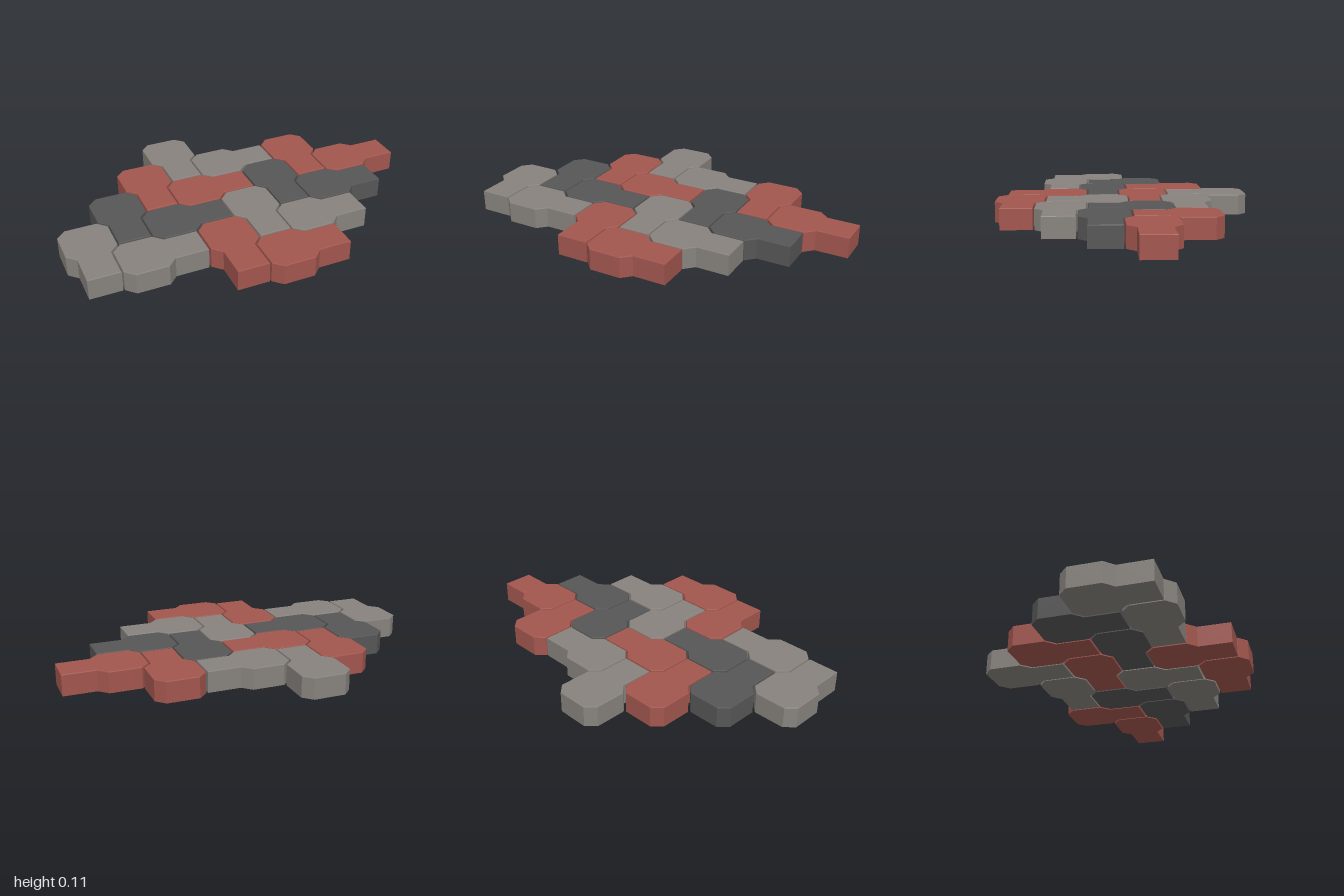
import * as THREE from 'three';

const PITCH = 0.223;   // lattice step
const HEIGHT = 0.113;
const BEVEL = 0.004;

// One paver: an octagon with a square tail towards +x, flat base, eased top edge
function paverGeometry() {
  const r = 0.131, s = 0.084, end = 0.305;
  const outline = [[end, -s], [end, s], [r, s], [s, r], [-s, r], [-r, s], [-r, -s], [-s, -r], [s, -r], [r, -s]];
  const shape = new THREE.Shape(outline.map(([x, y]) => new THREE.Vector2(x, y)));
  const geometry = new THREE.ExtrudeGeometry(shape, {
    depth: HEIGHT - BEVEL, bevelEnabled: true, bevelSegments: 2,
    bevelSize: BEVEL, bevelThickness: BEVEL, bevelOffset: -BEVEL,
  });
  geometry.rotateX(-Math.PI / 2);
  // Flatten the lower bevel into the base
  const p = geometry.attributes.position;
  for (let i = 0; i < p.count; i++) p.setY(i, Math.max(0, p.getY(i)));
  geometry.computeVertexNormals();
  return geometry;
}

export function createModel() {
  const model = new THREE.Group();
  model.name = 'pavingPattern';

  const makeMaterial = (name, color) => {
    const m = new THREE.MeshStandardMaterial({ color });
    m.name = name;
    return m;
  };
  const materials = {
    grey: makeMaterial('warm grey concrete', 0x87827d),
    red: makeMaterial('brick red concrete', 0xa2564e),
    dark: makeMaterial('charcoal concrete', 0x565656),
  };

  // Rows from back to front: [column, colour, tail points to the front]
  const rows = [
    [[-1, 'grey', true]],
    [[-2, 'red', true], [0, 'grey', false], [2, 'red', true]],
    [[-3, 'dark', true], [-1, 'red', false], [1, 'dark', true], [3, 'red', false]],
    [[-4, 'grey', true], [-2, 'dark', false], [0, 'grey', true], [2, 'dark', false]],
    [[-3, 'grey', false], [-1, 'red', true], [1, 'grey', false]],
    [[0, 'red', false]],
  ];

  const geometry = paverGeometry();
  rows.forEach((row, r) => {
    for (const [column, colour, toFront] of row) {
      const paver = new THREE.Mesh(geometry, materials[colour]);
      paver.name = `${colour}Paver`;
      paver.position.set(0.0265 + column * PITCH, 0, (r - 2.5) * PITCH);
      if (toFront) paver.rotation.y = -Math.PI / 2;
      model.add(paver);
    }
  });
  return model;
}
